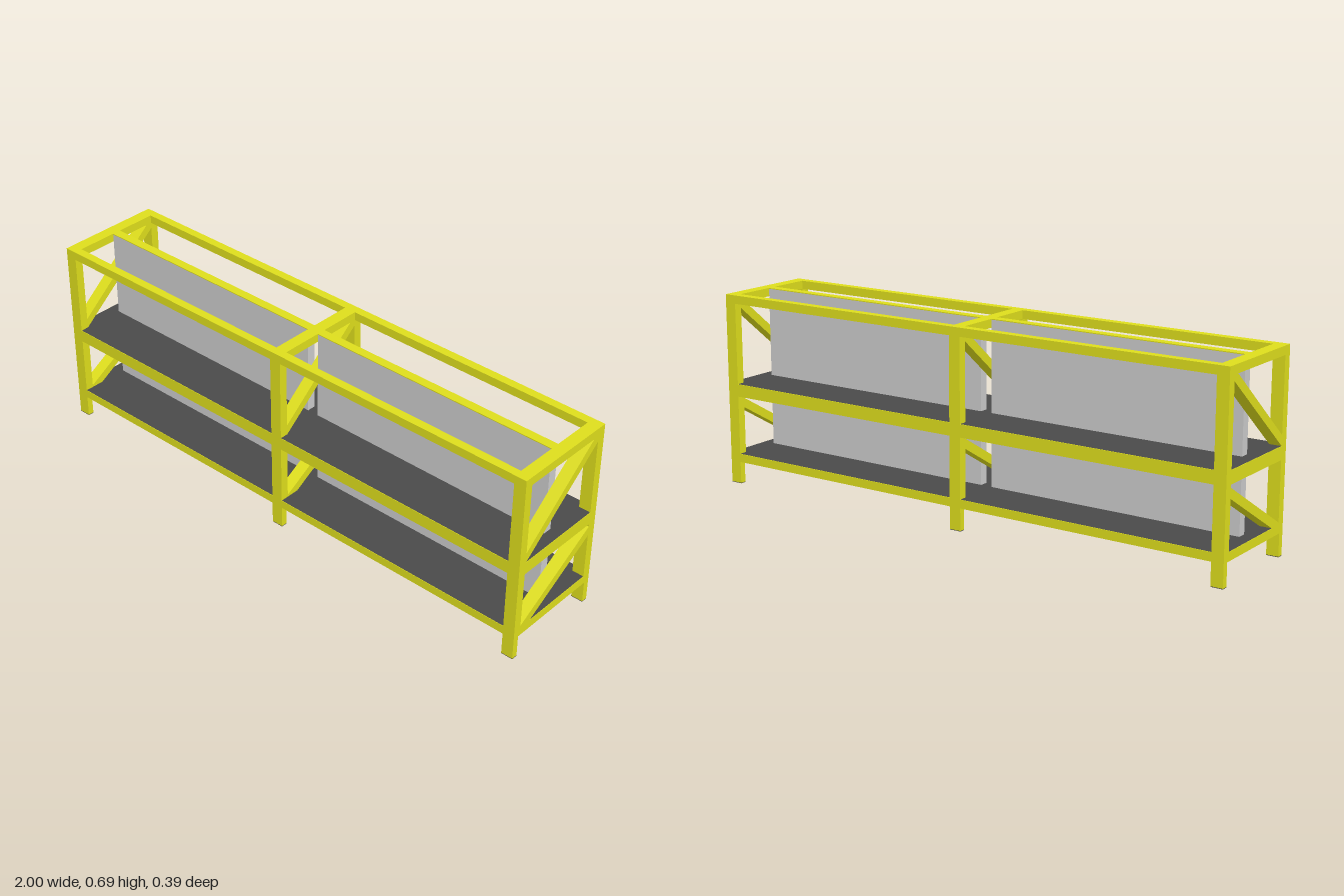
import * as THREE from 'three';

const yellow = new THREE.MeshStandardMaterial({ color: 0xdede1c });
const dark = new THREE.MeshStandardMaterial({ color: 0x4a4a4a });
const grey = new THREE.MeshStandardMaterial({ color: 0xcccccc });

const X = 1, Z = 0.195;            // half length and half depth
const W = 0.043, D = 0.03;         // post width (x) and depth (z)
const TOP = 0.688, RAIL = 0.658;   // top and underside of the top rails
const FRAMES = [-X + W / 2, 0, X - W / 2];
const TIERS = [
  { bottom: 0.08, top: 0.11, ceiling: 0.322 },
  { bottom: 0.322, top: 0.367, ceiling: RAIL },
];

export function createModel() {
  const model = new THREE.Group();

  function add(name, geometry, material, x, y, z) {
    const mesh = new THREE.Mesh(geometry, material);
    mesh.name = name;
    mesh.position.set(x, y, z);
    model.add(mesh);
    return mesh;
  }

  // Box given by its minimum and maximum corners
  function box(name, material, [x0, y0, z0], [x1, y1, z1]) {
    return add(name, new THREE.BoxGeometry(x1 - x0, y1 - y0, z1 - z0), material,
      (x0 + x1) / 2, (y0 + y1) / 2, (z0 + z1) / 2);
  }

  // Diagonal brace: outline in (z, y), extruded across the post width
  function brace(x, points) {
    const shape = new THREE.Shape(points.map(([z, y]) => new THREE.Vector2(-z, y)));
    const geometry = new THREE.ExtrudeGeometry(shape, { depth: W, bevelEnabled: false });
    geometry.translate(0, 0, -W / 2).rotateY(Math.PI / 2);
    add('diagonalBrace', geometry, yellow, x, 0, 0);
  }

  // Three upright frames: posts, feet, top crossbar and braces
  for (const x of FRAMES) {
    const x0 = x - W / 2, x1 = x + W / 2;
    for (const s of [-1, 1]) {
      const span = (depth) => [s * Z, s * (Z - depth)].sort((a, b) => a - b);
      const [p0, p1] = span(D), [f0, f1] = span(0.022);
      box('post', yellow, [x0, 0.08, p0], [x1, TOP, p1]);
      box('foot', yellow, [x0, 0.002, f0], [x1, 0.08, f1]);
      box('footPad', dark, [x0, 0, f0], [x1, 0.002, f1]);
    }
    box('topCrossbar', yellow, [x0, RAIL, -Z + D], [x1, TOP, Z - D]);
    brace(x, [[0.165, 0.367], [0.165, 0.403], [-0.143, 0.658], [-0.165, 0.658], [-0.165, 0.638]]);
    brace(x, [[0.12, 0.11], [0.165, 0.11], [0.165, 0.118], [-0.165, 0.312], [-0.165, 0.277]]);
  }

  // Long top rails
  for (const s of [-1, 1]) {
    const z = s * (Z - D / 2);
    box('topRail', yellow, [-X, RAIL, z - D / 2], [X, TOP, z + D / 2]);
  }

  // Shelves with a dark deck on top
  for (const { bottom, top } of TIERS) {
    box('shelf', yellow, [-X, bottom, -Z], [X, top, Z]);
    const deck = new THREE.PlaneGeometry(2 * X - 0.002, 2 * Z - 0.002).rotateX(-Math.PI / 2);
    add('shelfDeck', deck, dark, 0, top + 0.0006, 0);
  }

  // Central divider panels, one per bay and tier, capped along the top
  for (let bay = 0; bay < 2; bay++) {
    const x0 = FRAMES[bay] + W / 2, x1 = FRAMES[bay + 1] - W / 2;
    TIERS.forEach(({ top, ceiling }, i) => {
      const end = i === 1 ? TOP - 0.003 : ceiling;
      box('dividerPanel', grey, [x0, top, -0.016], [x1, end, 0.016]);
    });
    box('dividerCap', yellow, [x0, TOP - 0.003, -0.016], [x1, TOP, 0.016]);
  }

  return model;
}
